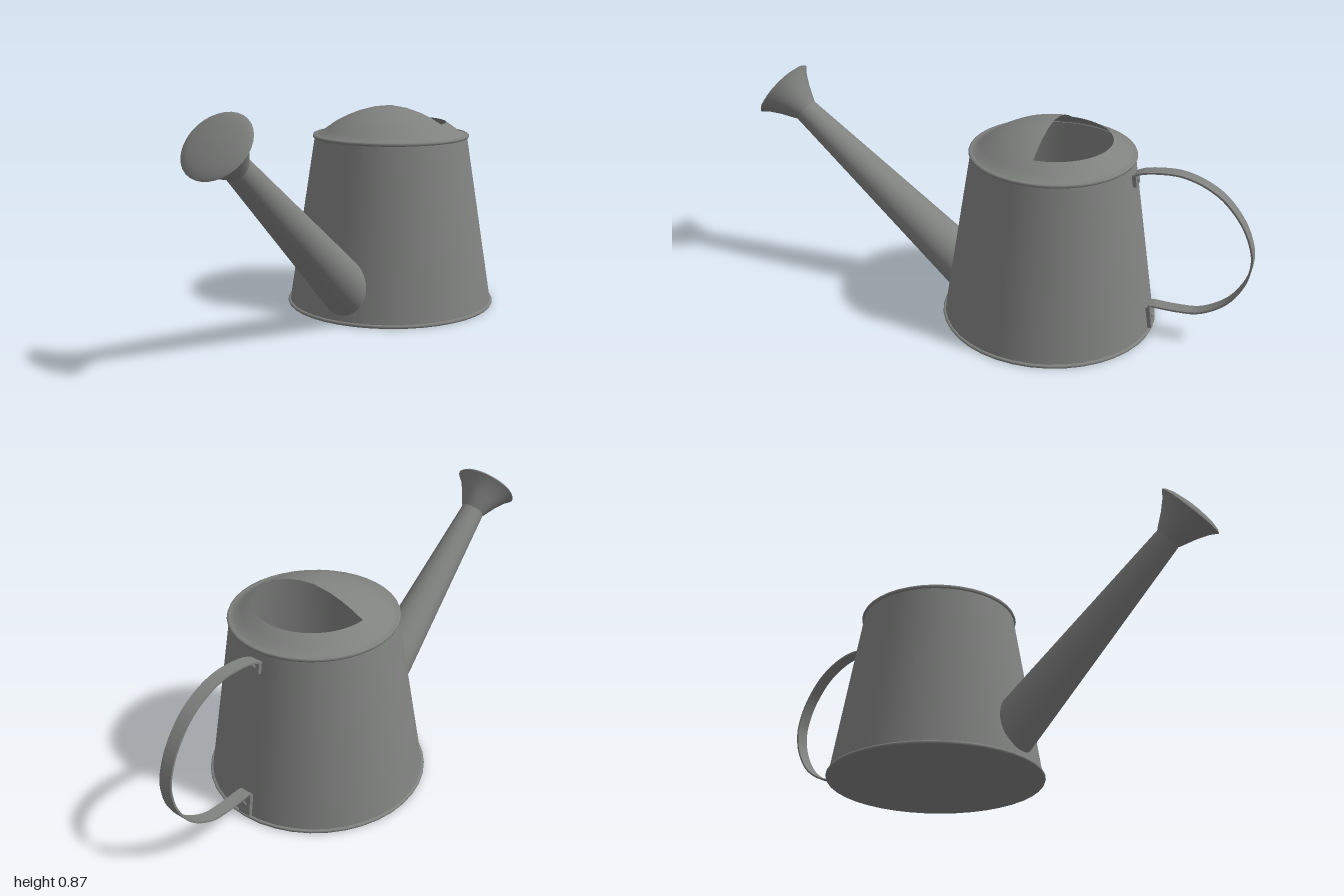
import * as THREE from 'three';

const metal = new THREE.MeshStandardMaterial({ color: 0x808280, side: THREE.DoubleSide });
metal.name = 'galvanised metal';

const CZ = -0.23; // z of the can's axis
const bodyR = (y) => 0.412 - 0.157 * y; // can radius at a height
const vec2 = (pts) => pts.map(([x, y]) => new THREE.Vector2(x, y));

export function createModel() {
  const group = new THREE.Group();
  const add = (name, geometry, x = 0, y = 0, z = 0) => {
    const mesh = new THREE.Mesh(geometry, metal);
    mesh.name = name;
    mesh.position.set(x, y, z);
    group.add(mesh);
    return mesh;
  };
  const lathe = (pts, start = 0, length = Math.PI * 2, seg = 40) =>
    new THREE.LatheGeometry(vec2(pts), seg, start, length);

  // Can: tapered wall, floor and rolled rims
  add('wall', lathe([[bodyR(0.005), 0.005], [bodyR(0.682), 0.682]]), 0, 0, CZ);
  add('floor', new THREE.CircleGeometry(0.415, 40).rotateX(Math.PI / 2), 0, 0.001, CZ);
  const rim = (name, r, y0, y1) => {
    const m = (y0 + y1) / 2;
    add(name, lathe([[r - 0.012, y0], [r - 0.003, y0], [r, m], [r - 0.003, y1], [r - 0.012, y1]]), 0, 0, CZ);
  };
  rim('bottomRim', 0.42, 0, 0.012);
  rim('topRim', 0.314, 0.675, 0.688);

  // Lid: a half dome hood at the front, an open sloping ring at the back
  const shoulder = [[0.306, 0.685], [0.288, 0.687], [0.262, 0.707], [0.222, 0.735]];
  const crown = [[0.18, 0.757], [0.13, 0.777], [0.07, 0.793], [0.0, 0.801]];
  add('hood', lathe([...shoulder, ...crown], -Math.PI / 2, Math.PI, 24), 0, 0, CZ);
  add('fillerRing', lathe(shoulder, Math.PI / 2, Math.PI, 24), 0, 0, CZ);

  // Spout: tapered tube whose foot is cut to fit the can
  const axis = new THREE.Vector3(0, 0.637, 0.771).normalize();
  const tilt = new THREE.Quaternion().setFromUnitVectors(new THREE.Vector3(0, 1, 0), axis);
  const tip = new THREE.Vector3(0, 0.7, 0.825);
  const len = 0.94;
  const spout = new THREE.CylinderGeometry(0.048, 0.101, len, 32, 1, true);
  spout.translate(0, -len / 2, 0).applyQuaternion(tilt).translate(tip.x, tip.y, tip.z);
  const pos = spout.attributes.position;
  const row = pos.count / 2;
  const top = new THREE.Vector3();
  const foot = new THREE.Vector3();
  const p = new THREE.Vector3();
  for (let i = 0; i < row; i++) {
    top.fromBufferAttribute(pos, i);
    foot.fromBufferAttribute(pos, i + row);
    for (let t = 0; t < 0.6; t += 0.002) {
      p.lerpVectors(foot, top, t);
      if (Math.hypot(p.x, p.z - CZ) > bodyR(p.y) - 0.002) break;
    }
    pos.setXYZ(i + row, p.x, p.y, p.z);
  }
  add('spout', spout);

  // Sprinkler rose: flared cup with a slightly domed face
  const rose = (name, pts) => {
    const mesh = add(name, lathe(pts, 0, Math.PI * 2, 32), tip.x, tip.y, tip.z);
    mesh.quaternion.copy(tilt);
  };
  rose('roseCup', [[0.046, -0.012], [0.052, -0.004], [0.08, 0.05], [0.107, 0.092], [0.128, 0.114]]);
  rose('roseFace', [[0.128, 0.114], [0.121, 0.121], [0.095, 0.129], [0.05, 0.135], [0, 0.137]]);

  // Handle: bent flat strip with a tab at each end, as [distance behind centre, height]
  const bend = new THREE.SplineCurve(vec2([
    [0.548, 0.643], [0.585, 0.658], [0.65, 0.668], [0.72, 0.668], [0.8, 0.645], [0.88, 0.595],
    [0.95, 0.51], [0.988, 0.42], [0.994, 0.35], [0.975, 0.27], [0.92, 0.185], [0.83, 0.127],
    [0.74, 0.114], [0.635, 0.115],
  ]));
  const path = [...vec2([[0.554, 0.6]]), ...bend.getPoints(64), ...vec2([[0.648, 0.02]])];
  const half = 0.0035;
  const side = (s) => path.map((q, i) => {
    const a = path[Math.max(i - 1, 0)];
    const b = path[Math.min(i + 1, path.length - 1)];
    const d = b.clone().sub(a).normalize();
    return new THREE.Vector2(q.x - d.y * s, q.y + d.x * s);
  });
  const width = 0.052;
  const strip = new THREE.ExtrudeGeometry(
    new THREE.Shape([...side(half), ...side(-half).reverse()]),
    { depth: width, bevelEnabled: false },
  );
  add('handle', strip.rotateY(Math.PI / 2).translate(-width / 2, 0, 0));

  // Mounting plates and rivets under the handle ends
  for (const [name, y, h] of [['upper', 0.622, 0.046], ['lower', 0.062, 0.09]]) {
    const z = CZ - bodyR(y);
    const lean = Math.atan(0.157);
    const plate = add(name + 'HandlePlate', new THREE.BoxGeometry(width, h, 0.014), 0, y, z - 0.005);
    plate.rotation.x = lean;
    const rivet = add(name + 'Rivet', new THREE.SphereGeometry(0.011, 12, 8), 0, y, z - 0.013);
    rivet.scale.z = 0.6;
  }
  return group;
}
